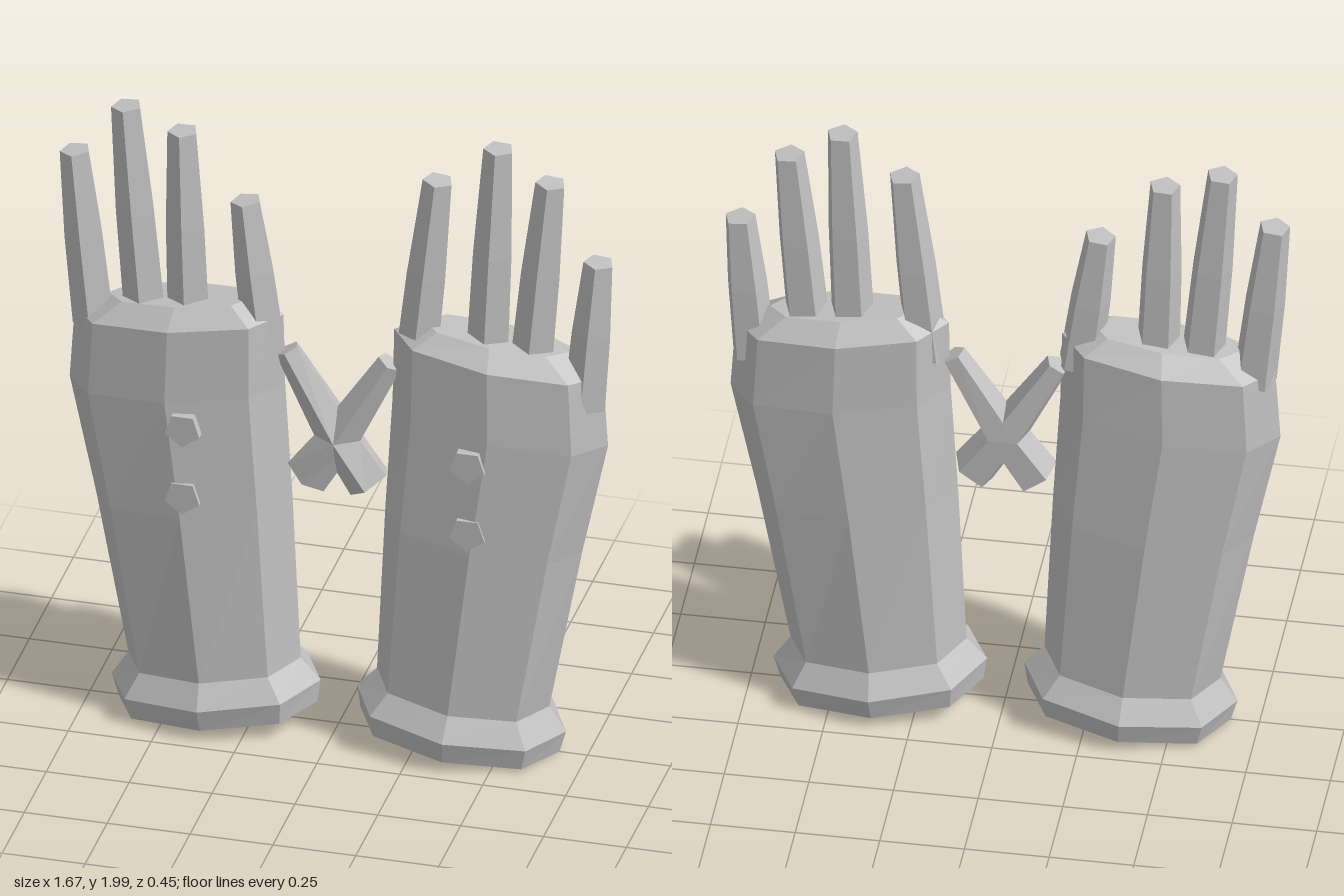
import * as THREE from 'three';

const grey = new THREE.MeshStandardMaterial({ color: 0xc0c0c0, flatShading: true });
grey.name = 'grey';

// Closed prism through rings listed from bottom to top.
// Ring: [centre x, centre y, half-width vector x, y, half-depth in z]
function loft(name, rings, sides, power = 1) {
  const pos = [], index = [];
  for (const [cx, cy, ux, uy, rz] of rings) {
    for (let j = 0; j < sides; j++) {
      const t = (j / sides) * Math.PI * 2;
      const s = Math.sign(Math.sin(t)) * Math.abs(Math.sin(t)) ** power;
      pos.push(cx + ux * s, cy + uy * s, rz * Math.cos(t));
    }
  }
  const last = (rings.length - 1) * sides;
  for (let j = 0; j < sides; j++) {
    const k = (j + 1) % sides;
    for (let i = 0; i < last; i += sides) {
      index.push(i + j, i + k, i + sides + k, i + j, i + sides + k, i + sides + j);
    }
    if (j > 0 && k > 0) index.push(0, k, j, last, last + j, last + k);
  }
  const indexed = new THREE.BufferGeometry();
  indexed.setAttribute('position', new THREE.Float32BufferAttribute(pos, 3));
  indexed.setIndex(index);
  const geometry = indexed.toNonIndexed();
  geometry.computeVertexNormals();
  const mesh = new THREE.Mesh(geometry, grey);
  mesh.name = name;
  return mesh;
}

// Five-sided finger, slimmer at the tip
function finger(name, bx, by, tx, ty) {
  const length = Math.hypot(tx - bx, ty - by);
  const dx = (tx - bx) / length, dy = (ty - by) / length;
  const ring = (f, r) => [bx + (tx - bx) * f, by + (ty - by) * f, dy * r, -dx * r, r];
  return loft(name, [ring(0, 0.066), ring(0.5, 0.061), ring(1, 0.046)], 5);
}

// Cuff, wrist and palm: [centre x, centre y, half width, half depth]
const PALM = [
  [0.365, 0.037, 0.3, 0.205],
  [0.37, 0.108, 0.315, 0.225],
  [0.375, 0.18, 0.26, 0.18],
  [0.437, 0.715, 0.297, 0.165],
  [0.487, 1.085, 0.325, 0.15],
  [0.482, 1.315, 0.315, 0.138],
  [0.475, 1.37, 0.22, 0.08],
];

// Fingers: [name, base x, base y, tip x, tip y]
const LEFT_FINGERS = [
  ['indexFinger', 0.235, 1.23, 0.3, 1.865],
  ['middleFinger', 0.452, 1.3, 0.483, 1.997],
  ['ringFinger', 0.585, 1.3, 0.64, 1.905],
  ['littleFinger', 0.745, 1.18, 0.785, 1.66],
];
const RIGHT_FINGERS = [
  ['indexFinger', -0.22, 1.25, -0.28, 1.715],
  ['middleFinger', -0.448, 1.3, -0.47, 1.92],
  ['ringFinger', -0.58, 1.3, -0.64, 1.98],
  ['littleFinger', -0.735, 1.25, -0.795, 1.81],
];

function glove(name, side, fingers) {
  const group = new THREE.Group();
  group.name = name;

  const slope = -0.105 * side;
  group.add(loft('palmAndCuff',
    PALM.map(([x, y, rx, rz]) => [x * side, y, rx, rx * slope, rz]), 8, 0.85));

  for (const f of fingers) group.add(finger(...f));

  // Bent thumb reaching across the middle
  group.add(loft('thumb', [
    [-0.095 * side, 0.825, 0.057, -0.042 * side, 0.066],
    [0, 0.97, 0.073, 0, 0.066],
    [0.155 * side, 1.235, 0.034, -0.02 * side, 0.036],
  ], 5));

  // Five-sided studs on the front of the hand
  for (const y of [1.01, 0.785]) {
    const stud = new THREE.Mesh(new THREE.CylinderGeometry(0.055, 0.055, 0.03, 5), grey);
    stud.name = 'stud';
    stud.rotation.x = Math.PI / 2;
    stud.position.set(0.43 * side, y, 0.15);
    group.add(stud);
  }
  return group;
}

export function createModel() {
  const model = new THREE.Group();
  model.name = 'pairOfGloves';
  model.add(glove('leftGlove', 1, LEFT_FINGERS), glove('rightGlove', -1, RIGHT_FINGERS));
  return model;
}
